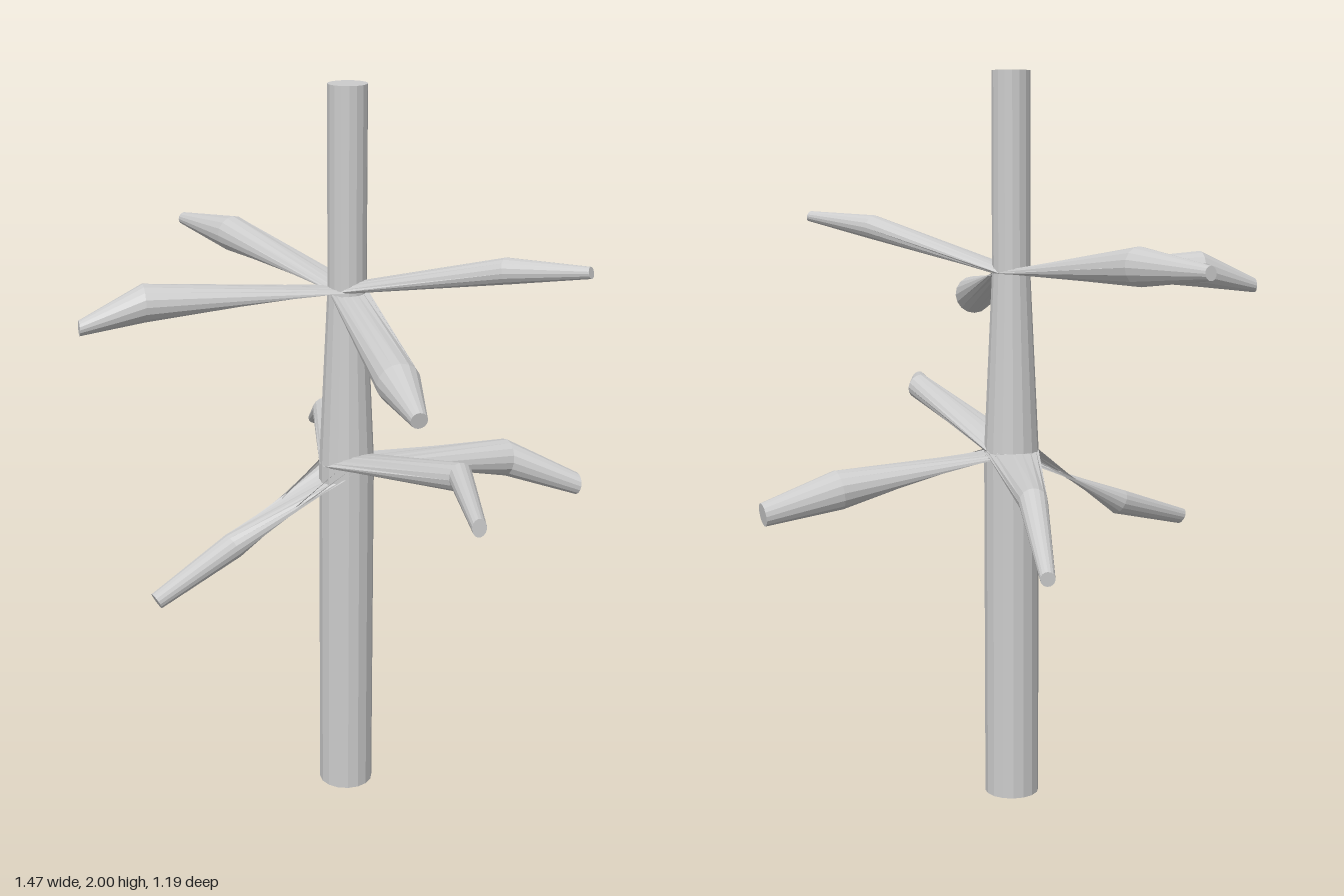
import * as THREE from 'three';

const SIDES = 16;
const CX = 0.035, CZ = -0.012; // trunk axis
const V = (x, y, z) => new THREE.Vector3(x, y, z);

// Branch skin: a flat ring around the trunk, a knee ring and a tip ring, closed at the tip
function branchGeometry(y, rTrunk, knee, rKnee, tip, rTip) {
  const base = V(CX, y, CZ);
  const dir = knee.clone().sub(base).normalize();
  const out = V(dir.x, 0, dir.z).normalize();
  const side = V(0, 1, 0).cross(out).normalize();
  const up = dir.clone().cross(side);
  const ring = (c, r, u) => Array.from({ length: SIDES }, (_, i) => {
    const a = (i / SIDES) * Math.PI * 2;
    return c.clone().addScaledVector(side, r * Math.cos(a)).addScaledVector(u, r * Math.sin(a));
  });
  const rings = [
    ring(base, rTrunk, out.clone().negate()),
    ring(knee, rKnee, up),
    ring(tip, rTip, up),
  ];
  const pts = [];
  for (let i = 0; i < SIDES; i++) {
    const j = (i + 1) % SIDES;
    for (let k = 0; k < 2; k++) {
      const [a, b, c, d] = [rings[k][i], rings[k][j], rings[k + 1][j], rings[k + 1][i]];
      pts.push(a, b, c, a, c, d);
    }
    pts.push(tip, rings[2][i], rings[2][j]);
  }
  const geo = new THREE.BufferGeometry().setFromPoints(pts);
  geo.computeVertexNormals();
  return geo;
}

export function createModel() {
  const tree = new THREE.Group();
  tree.name = 'bareTree';
  const bark = new THREE.MeshStandardMaterial({ color: 0xcccccc, flatShading: true });
  bark.name = 'greyBark';

  const add = (geo, name) => {
    const mesh = new THREE.Mesh(geo, bark);
    mesh.name = name;
    tree.add(mesh);
    return mesh;
  };

  // Trunk: straight foot, tapering middle, straight top
  const R0 = 0.075, R1 = 0.052, Y0 = 0.98, Y1 = 1.465;
  const profile = [[0, 0], [R0, 0], [R0, Y0], [R1, Y1], [R1, 2], [0, 2]];
  const trunk = add(
    new THREE.LatheGeometry(profile.map(([r, y]) => new THREE.Vector2(r, y)), SIDES), 'trunk');
  trunk.position.set(CX, 0, CZ);

  // Branches: knee, knee radius, tip, tip radius
  const lower = [
    [V(-0.09, 0.8, 0.31), 0.036, V(-0.12, 0.72, 0.57), 0.023],
    [V(0.522, 1.095, 0.128), 0.037, V(0.727, 1.08, 0.333), 0.022],
    [V(0.24, 0.91, -0.47), 0.053, V(0.408, 0.838, -0.587), 0.032],
    [V(-0.36, 0.945, -0.38), 0.036, V(-0.565, 0.822, -0.568), 0.018],
  ];
  const upper = [
    [V(-0.49, 1.513, -0.13), 0.05, V(-0.735, 1.512, -0.18), 0.018],
    [V(0.495, 1.575, -0.083), 0.034, V(0.715, 1.6, -0.118), 0.015],
    [V(0.445, 1.362, 0.285), 0.055, V(0.6, 1.335, 0.405), 0.021],
    [V(-0.27, 1.465, 0.435), 0.05, V(-0.353, 1.415, 0.583), 0.02],
  ];
  lower.forEach((b, i) => add(branchGeometry(Y0, R0, ...b), `lowerBranch${i + 1}`));
  upper.forEach((b, i) => add(branchGeometry(Y1, R1, ...b), `upperBranch${i + 1}`));

  return tree;
}
